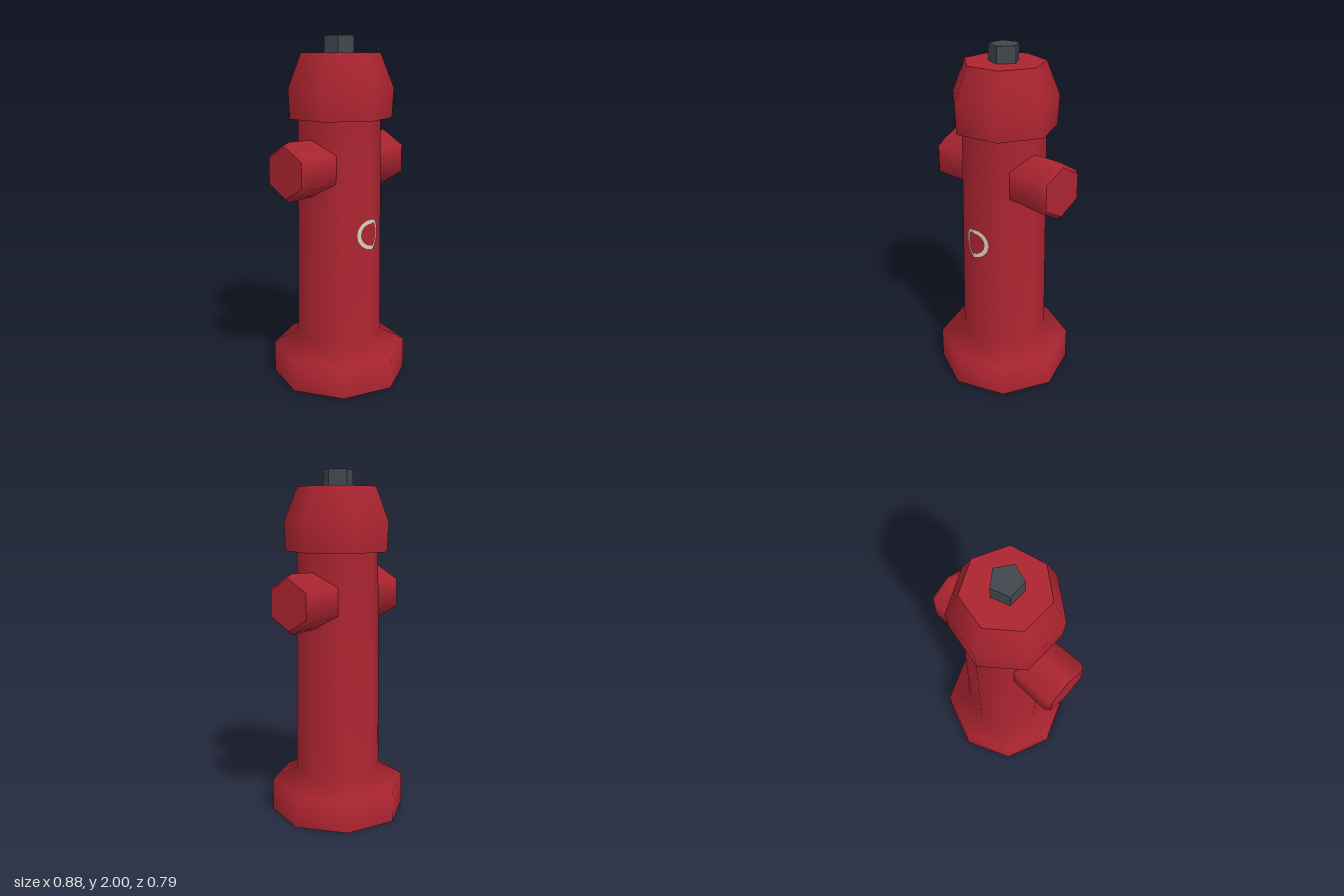
import * as THREE from 'three';

const red = new THREE.MeshStandardMaterial({ color: 0xab2430 });
red.name = 'hydrant red';
const iron = new THREE.MeshStandardMaterial({ color: 0x40474c });
iron.name = 'dark iron';
const pale = new THREE.MeshStandardMaterial({ color: 0xd0cfc0 });
pale.name = 'pale paint';

// Turned solid with few sides; a repeated profile point makes a hard edge
function turned(profile, sides, start = 0) {
  const points = profile.map(([r, y]) => new THREE.Vector2(r, y));
  const geometry = new THREE.LatheGeometry(points, sides, start);
  geometry.normalizeNormals();
  return geometry;
}

function addPart(group, name, geometry, material) {
  const mesh = new THREE.Mesh(geometry, material);
  mesh.name = name;
  group.add(mesh);
  return mesh;
}

export function createModel() {
  const hydrant = new THREE.Group();
  hydrant.name = 'hydrant';

  // Octagonal foot flowing into the tapered barrel
  addPart(hydrant, 'barrel', turned([
    [0, 0], [0.395, 0], [0.395, 0], [0.395, 0.185], [0.25, 0.26], [0.235, 1.56],
  ], 8), red);

  // Seven-sided bonnet, a corner towards +x
  addPart(hydrant, 'bonnet', turned([
    [0, 1.547], [0.299, 1.547], [0.299, 1.547], [0.307, 1.715],
    [0.23, 1.907], [0.23, 1.907], [0, 1.907],
  ], 7, Math.PI / 2), red);

  // Five-sided operating nut with flat faces
  const nut = turned([[0.088, 1.85], [0.088, 2], [0.088, 2], [0, 2]], 5, Math.PI / 2).toNonIndexed();
  nut.computeVertexNormals();
  addPart(hydrant, 'operatingNut', nut, iron);

  // Hexagonal side outlets with bevelled ends
  for (const side of [1, -1]) {
    const outlet = turned([
      [0.155, 0.1], [0.165, 0.41], [0.142, 0.44], [0.142, 0.44], [0, 0.44],
    ], 6, Math.PI / 2);
    outlet.rotateZ(-side * Math.PI / 2);
    addPart(hydrant, side > 0 ? 'leftOutlet' : 'rightOutlet', outlet, red)
      .position.y = 1.28;
  }

  // Painted ring folded over the front corner of the barrel
  const ring = new THREE.RingGeometry(0.066, 0.088, 16);
  const p = ring.attributes.position;
  for (let i = 0; i < p.count; i++) {
    const y = p.getY(i) + 0.9;
    const radius = 0.25 - 0.015 * (y - 0.26) / 1.3;
    p.setZ(i, radius - Math.abs(p.getX(i)) * Math.tan(Math.PI / 8) + 0.004);
  }
  ring.computeVertexNormals();
  addPart(hydrant, 'frontRing', ring, pale).position.y = 0.9;

  return hydrant;
}
